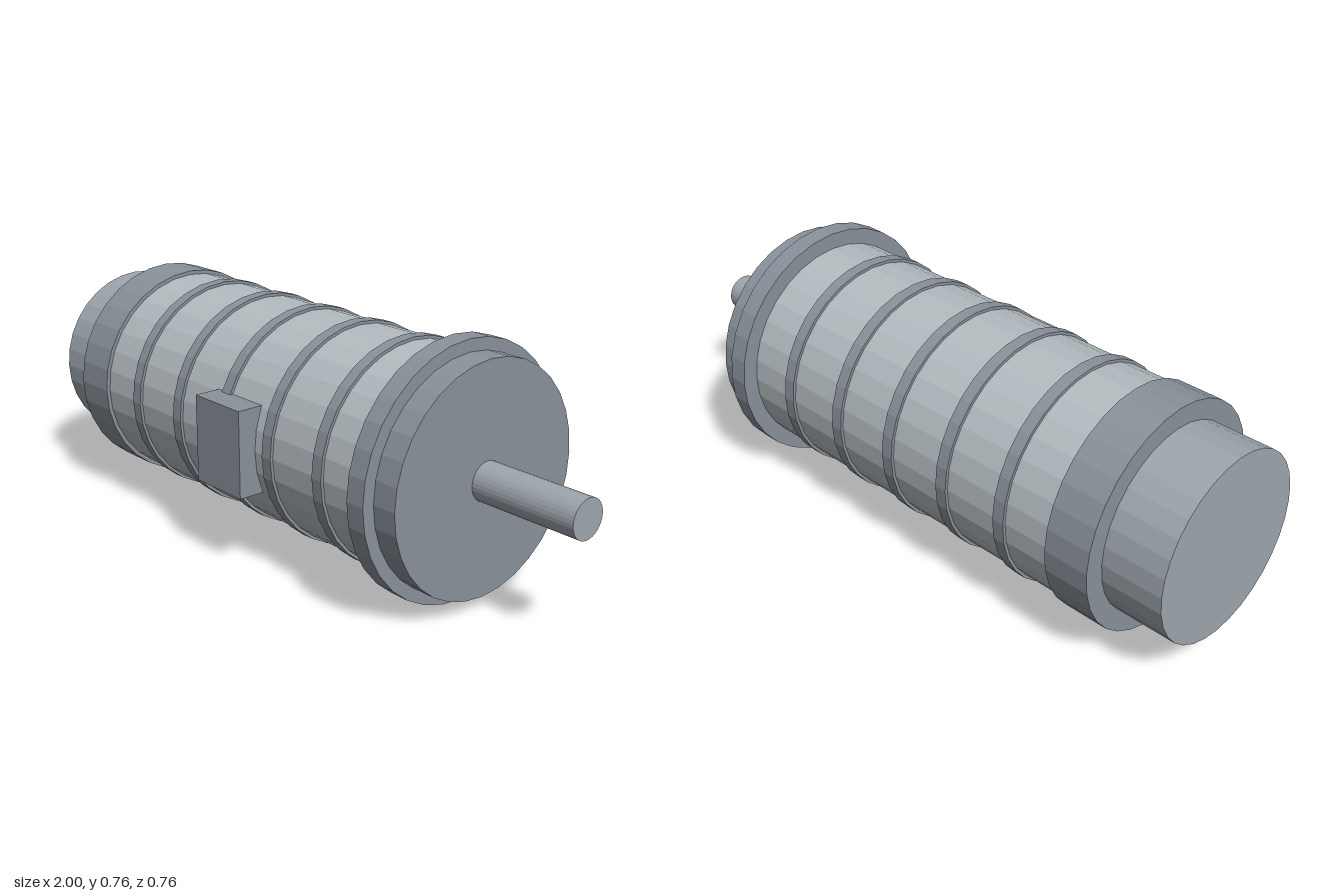
import * as THREE from 'three';

const AXIS_Y = 0.378, AXIS_Z = -0.003;

export function createModel() {
  const model = new THREE.Group();
  model.name = 'motor';

  const paint = (color) => new THREE.MeshStandardMaterial({ color, flatShading: true });
  const darkGrey = paint(0x8a929b);
  const midGrey = paint(0x9ea6ad);
  const lightGrey = paint(0xb5bdc2);

  function add(name, geometry, material, x, y, z) {
    const mesh = new THREE.Mesh(geometry, material);
    mesh.name = name;
    mesh.position.set(x, y, z);
    model.add(mesh);
  }

  // Closed 32-sided drum lying along x, from x0 to x1
  function drum(name, material, x0, x1, radius) {
    const geometry = new THREE.CylinderGeometry(radius, radius, x1 - x0, 32).rotateZ(-Math.PI / 2);
    add(name, geometry, material, (x0 + x1) / 2, AXIS_Y, AXIS_Z);
  }

  // Housing, end to end
  drum('rearCap', midGrey, -1, -0.81, 0.281);
  drum('rearCollar', darkGrey, -0.811, -0.67, 0.341);
  drum('body', lightGrey, -0.671, 0.521, 0.329);
  drum('flange', darkGrey, 0.52, 0.582, 0.378);
  drum('frontCap', darkGrey, 0.581, 0.66, 0.341);
  drum('shaft', midGrey, 0.659, 1, 0.058);

  // Evenly spaced raised bands around the body
  for (let i = 0; i < 5; i++) {
    const x = -0.503 + i * 0.2142;
    drum('rib' + (i + 1), darkGrey, x - 0.019, x + 0.019, 0.338);
  }

  // Terminal box on the front side
  add('terminalBox', new THREE.BoxGeometry(0.2, 0.262, 0.086), darkGrey, -0.021, AXIS_Y + 0.001, 0.338);

  return model;
}
